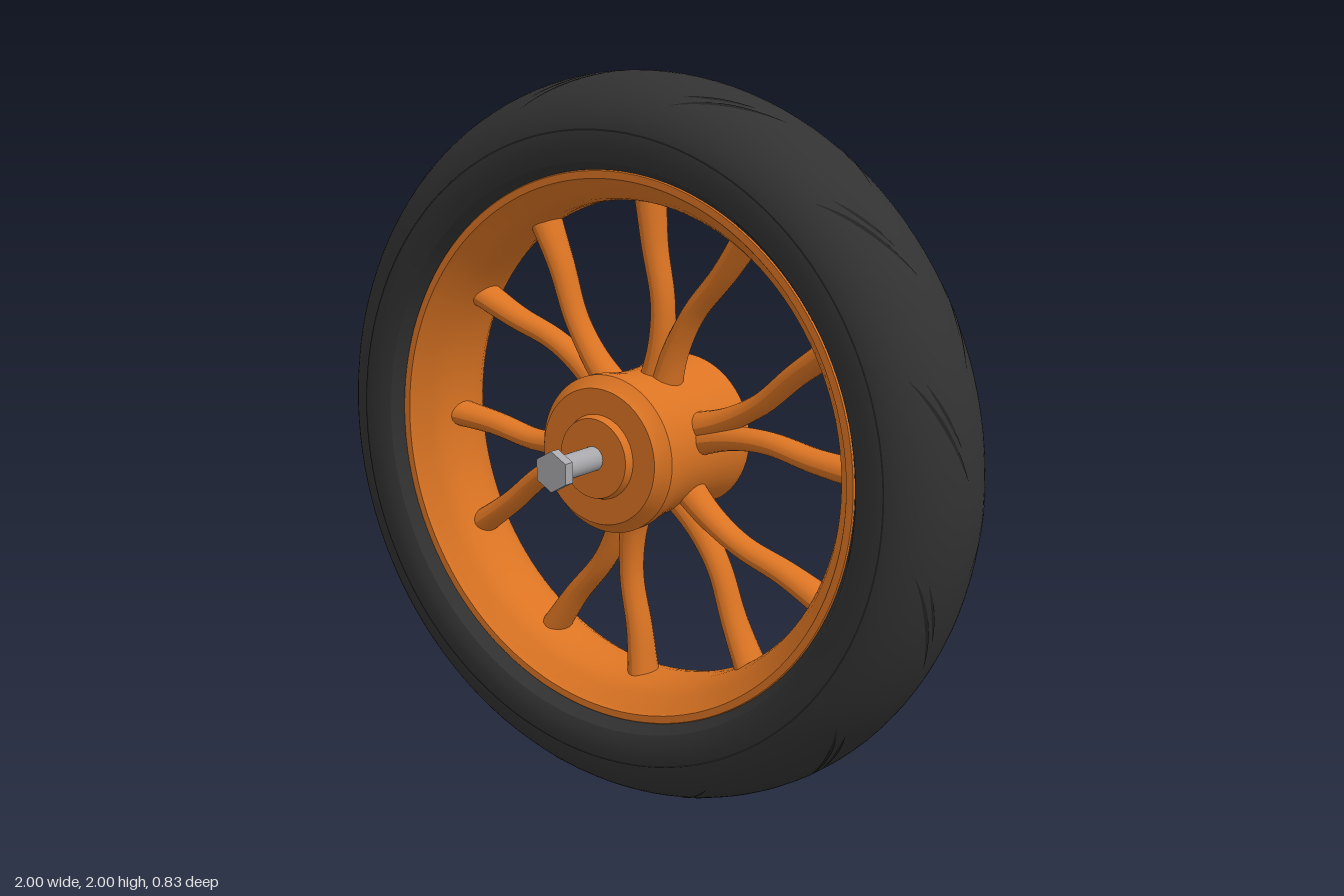
import * as THREE from 'three';
import { toCreasedNormals } from 'three/addons/utils/BufferGeometryUtils.js';

const rubber = new THREE.MeshStandardMaterial({ color: 0x323232 });
rubber.name = 'rubber';
const groove = new THREE.MeshStandardMaterial({ color: 0x222222 });
groove.name = 'groove black';
const orange = new THREE.MeshStandardMaterial({ color: 0xdb7423 });
orange.name = 'orange paint';
const steel = new THREE.MeshStandardMaterial({ color: 0xa8a8ac });
steel.name = 'steel';

function mesh(name, geometry, material) {
  const m = new THREE.Mesh(geometry, material);
  m.name = name;
  return m;
}

// Turn a [radius, z] profile around the z axis
function turned(profile, segments, crease = 0.5) {
  const g = new THREE.LatheGeometry(profile.map(([r, z]) => new THREE.Vector2(r, z)), segments);
  g.rotateX(Math.PI / 2);
  return toCreasedNormals(g, crease);
}

// Mirror a half profile, listed from z = 0 outwards, to both sides
function mirrored(half) {
  const other = half.filter(([, z]) => z > 0).map(([r, z]) => [r, -z]).reverse();
  return [...other, ...half];
}

const treadRadius = (z) => 0.83 + 0.17 * Math.sqrt(Math.max(0, 1 - (z / 0.2) ** 2));

// Tapered slit lying on the tread, from angle a0/z0 to a1/z1
function slit(a0, z0, a1, z1, width) {
  const n = 12, pos = [], index = [];
  for (let i = 0; i <= n; i++) {
    const t = i / n;
    const a = a0 + (a1 - a0) * t;
    const z = z0 + (z1 - z0) * t;
    const w = width * Math.sin(Math.PI * t) + 0.0005;
    for (const s of [-1, 1]) {
      const zz = z + s * w;
      const r = treadRadius(zz) + 0.002;
      pos.push(r * Math.cos(a), r * Math.sin(a), zz);
    }
    if (i < n) index.push(2 * i, 2 * i + 2, 2 * i + 1, 2 * i + 1, 2 * i + 2, 2 * i + 3);
  }
  const g = new THREE.BufferGeometry();
  g.setAttribute('position', new THREE.Float32BufferAttribute(pos, 3));
  g.setIndex(index);
  // Face outwards whichever way the slit runs
  if (a1 < a0) g.setIndex(index.reverse());
  g.computeVertexNormals();
  return g;
}

// Curved spoke with an oval section, leaning to one side of +y
function spoke(side) {
  const path = [[0.16, 6], [0.28, 5], [0.4, 7.5], [0.54, 12.2], [0.68, 14]];
  const curve = new THREE.CatmullRomCurve3(path.map(([r, deg]) => {
    const o = side * THREE.MathUtils.degToRad(deg);
    return new THREE.Vector3(r * Math.sin(o), r * Math.cos(o), 0);
  }));
  const g = new THREE.CylinderGeometry(1, 1, 1, 18, 24);
  const p = g.attributes.position;
  for (let i = 0; i < p.count; i++) {
    const t = p.getY(i) + 0.5;
    const c = curve.getPoint(t);
    const d = curve.getTangent(t);
    const flare = (2 * t - 1) ** 2;
    const w = p.getX(i) * (0.03 + (t < 0.5 ? 0.014 : 0.007) * flare);
    const depth = p.getZ(i) * (0.04 + 0.016 * flare);
    p.setXYZ(i, c.x + d.y * w, c.y - d.x * w, depth);
  }
  g.computeVertexNormals();
  return g;
}

export function createModel() {
  const model = new THREE.Group();
  model.name = 'wheel';
  const wheel = new THREE.Group();
  wheel.name = 'wheelAssembly';
  wheel.position.y = 1;
  model.add(wheel);

  // Tyre: rounded tread, flat sidewalls and a bevelled lip over the rim
  const half = [];
  for (let i = 0; i <= 16; i++) {
    const a = (i / 16) * Math.PI / 2;
    half.push([0.83 + 0.17 * Math.cos(a), 0.2 * Math.sin(a)]);
  }
  half.push([0.8, 0.199], [0.775, 0.188], [0.75, 0.15]);
  wheel.add(mesh('tyre', turned(mirrored(half), 128), rubber));

  // Fine seam on each sidewall
  for (const s of [1, -1]) {
    const seam = new THREE.RingGeometry(0.857, 0.862, 128);
    if (s < 0) seam.rotateY(Math.PI);
    seam.translate(0, 0, s * 0.199);
    wheel.add(mesh('sidewallSeam', seam, groove));
  }

  // Two staggered rows of slanted tread slits
  const tread = new THREE.Group();
  tread.name = 'treadSlits';
  const rad = THREE.MathUtils.degToRad;
  for (let i = 0; i < 12; i++) {
    for (const s of [1, -1]) {
      const mid = (s > 0 ? 11 : 26) + i * 30;
      tread.add(mesh('longSlit', slit(rad(mid + 8), s * 0.15, rad(mid - 8), s * 0.03, 0.005), groove));
      tread.add(mesh('shortSlit', slit(rad(mid + 7), s * 0.118, rad(mid - 3), s * 0.05, 0.004), groove));
    }
  }
  wheel.add(tread);

  // Rim: closed ring whose inside narrows to a throat in the middle
  const inside = mirrored([[0.66, 0], [0.661, 0.04], [0.67, 0.08], [0.69, 0.115], [0.722, 0.145], [0.73, 0.158]]).reverse();
  const rimProfile = [[0.73, -0.158], [0.75, -0.158], [0.757, -0.148], [0.757, 0.148], [0.75, 0.158], ...inside];
  wheel.add(mesh('rim', turned(rimProfile, 128, 0.45), orange));

  // Spokes in six converging pairs
  const spokes = new THREE.Group();
  spokes.name = 'spokes';
  const shapes = [spoke(-1), spoke(1)];
  for (let i = 0; i < 6; i++) {
    for (const g of shapes) {
      const m = mesh('spoke', g, orange);
      m.rotation.z = rad(-15 + i * 60);
      spokes.add(m);
    }
  }
  wheel.add(spokes);

  // Hub barrel with stepped end caps
  const hubHalf = [
    [0.2, 0], [0.203, 0.08], [0.215, 0.15], [0.215, 0.18], [0.19, 0.205],
    [0.185, 0.217], [0.115, 0.217], [0.108, 0.24], [0, 0.24],
  ];
  wheel.add(mesh('hub', turned(mirrored(hubHalf), 64), orange));

  // Axle with a hexagonal head at each end
  const axle = new THREE.CylinderGeometry(0.033, 0.033, 0.79, 32);
  axle.rotateX(Math.PI / 2);
  wheel.add(mesh('axle', axle, steel));
  const head = new THREE.CylinderGeometry(0.055, 0.055, 0.03, 6);
  head.rotateX(Math.PI / 2);
  const headFlat = toCreasedNormals(head, 0.3);
  for (const s of [1, -1]) {
    const m = mesh('axleHead', headFlat, steel);
    m.position.z = s * 0.4;
    wheel.add(m);
  }
  return model;
}
